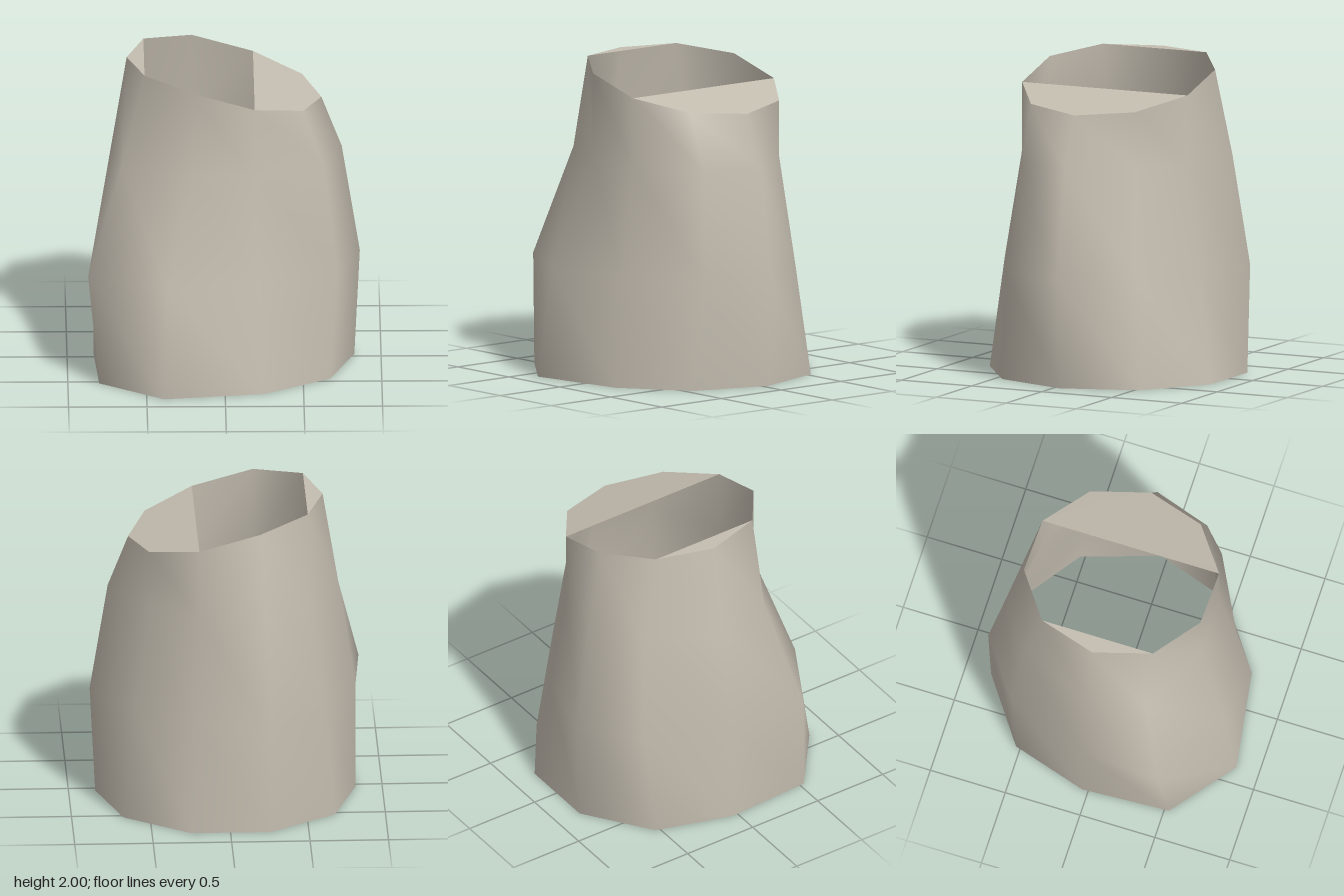
import * as THREE from 'three';

// Cross-sections from hem to rim: ten [x, z] corners each, clockwise seen from above
const RINGS = [
  { y: 0, pts: [[-0.26, -0.83], [0.25, -0.83], [0.67, -0.53], [0.83, -0.04], [0.67, 0.45],
    [0.25, 0.75], [-0.39, 0.85], [-0.80, 0.53], [-0.83, -0.04], [-0.68, -0.53]] },
  { y: 0.7, pts: [[-0.26, -0.85], [0.22, -0.73], [0.59, -0.47], [0.865, -0.04], [0.72, 0.40],
    [0.22, 0.66], [-0.36, 0.76], [-0.87, 0.48], [-0.83, -0.04], [-0.62, -0.58]] },
  { y: 1.4, pts: [[-0.23, -0.74], [0.19, -0.63], [0.50, -0.41], [0.75, -0.04], [0.63, 0.33],
    [0.19, 0.55], [-0.20, 0.55], [-0.65, 0.33], [-0.72, -0.04], [-0.53, -0.52]] },
  { y: [1.95, 1.84, 1.76, 1.73, 1.76, 1.84, 1.95, 2, 2, 2],
    pts: [[-0.20, -0.63], [0.19, -0.63], [0.50, -0.41], [0.62, -0.04], [0.50, 0.33],
      [0.19, 0.55], [-0.20, 0.55], [-0.51, 0.33], [-0.62, -0.04], [-0.51, -0.41]] },
];
const N = 10;

const corner = (ring, i) => [ring.pts[i][0], Array.isArray(ring.y) ? ring.y[i] : ring.y, ring.pts[i][1]];

function build(positions, index) {
  const geo = new THREE.BufferGeometry();
  geo.setAttribute('position', new THREE.Float32BufferAttribute(positions, 3));
  geo.setIndex(index);
  geo.computeVertexNormals();
  return geo;
}

// Open smooth wall joining the rings
function wallGeometry() {
  const positions = RINGS.flatMap((r) => r.pts.flatMap((_, i) => corner(r, i)));
  const index = [];
  for (let k = 0; k < RINGS.length - 1; k++) {
    for (let i = 0; i < N; i++) {
      const a = k * N + i, b = k * N + (i + 1) % N;
      index.push(a, a + N, b + N, a, b + N, b);
    }
  }
  return build(positions, index);
}

// Flat flap filling the rim between two of its corners
function flapGeometry(first, last) {
  const positions = [], index = [];
  for (let i = first; i <= last; i++) positions.push(...corner(RINGS[3], i));
  for (let i = 1; i < last - first; i++) index.push(0, i + 1, i);
  return build(positions, index);
}

export function createModel() {
  const group = new THREE.Group();
  const material = new THREE.MeshStandardMaterial({ color: 0xc4bdb0, side: THREE.DoubleSide });
  material.name = 'warm grey';
  const add = (name, geo) => {
    const mesh = new THREE.Mesh(geo, material);
    mesh.name = name;
    group.add(mesh);
  };
  add('tubeWall', wallGeometry());
  add('lowRimFlap', flapGeometry(1, 5));
  add('highRimFlap', flapGeometry(7, 9));
  return group;
}
